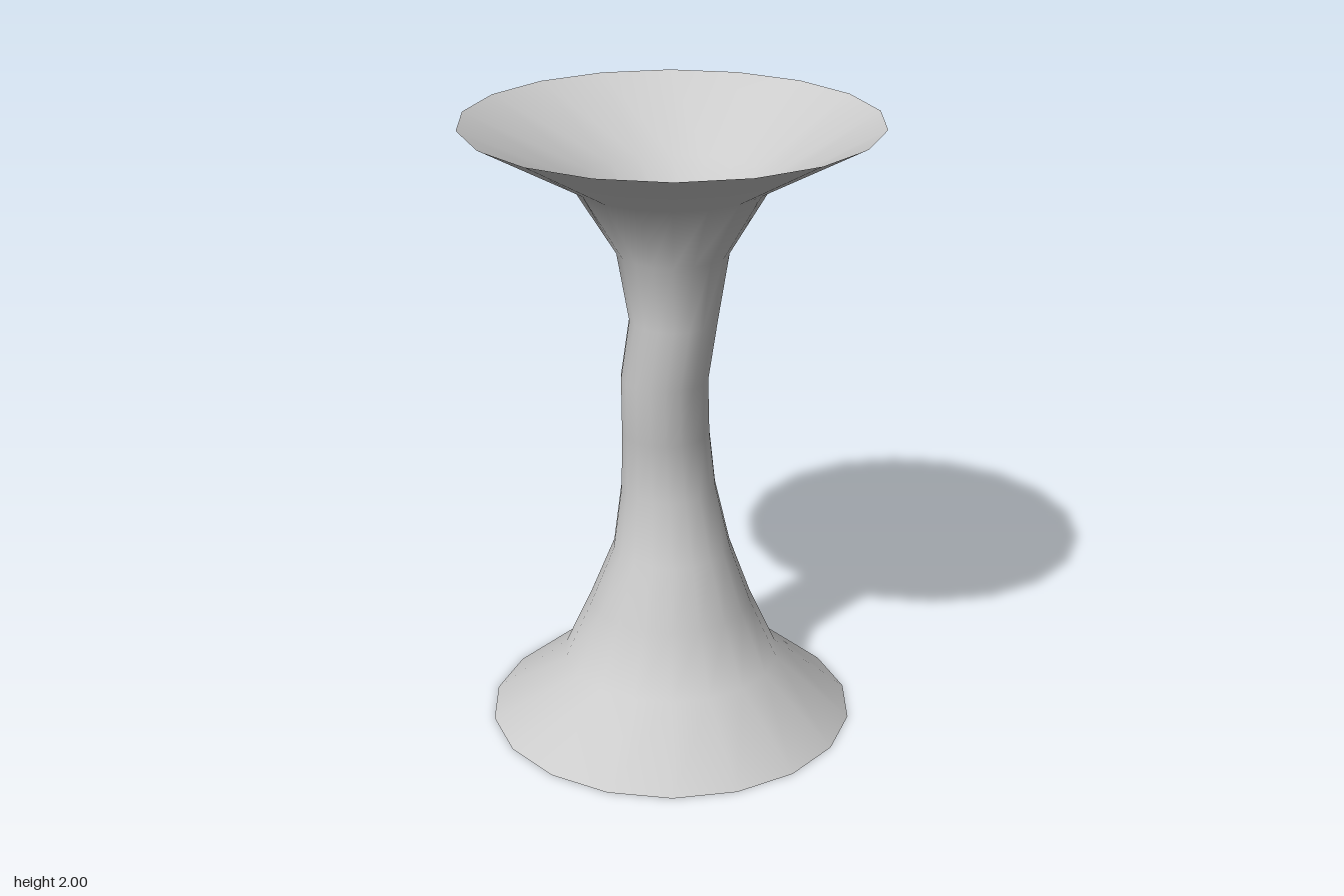
import * as THREE from 'three';
import { mergeVertices } from 'three/addons/utils/BufferGeometryUtils.js';

// Rings from bottom to top: [y, centre x, centre z, radius x, radius z]
const RINGS = [
  [0, 0, -0.016, 0.593, 0.593],
  [0.2, 0, -0.018, 0.353, 0.352],
  [0.4, 0, -0.018, 0.263, 0.266],
  [0.6, 0, 0.002, 0.19, 0.19],
  [0.79, -0.003, -0.043, 0.153, 0.155],
  [1.0, -0.02, 0.001, 0.14, 0.141],
  [1.19, -0.027, 0.022, 0.138, 0.14],
  [1.39, -0.003, 0.045, 0.138, 0.138],
  [1.6, 0, 0.018, 0.175, 0.175],
  [1.81, 0, 0, 0.305, 0.305],
  [2, 0, 0, 0.645, 0.647],
];
const SIDES = 18;

export function createModel() {
  const group = new THREE.Group();
  group.name = 'flaredColumn';

  // Open tube whose rings are moved and scaled along the wavering axis
  const rows = RINGS.length - 1;
  let geometry = new THREE.CylinderGeometry(1, 1, rows, SIDES, rows, true, Math.PI / 2);
  const pos = geometry.attributes.position;
  for (let i = 0; i < pos.count; i++) {
    const [y, cx, cz, rx, rz] = RINGS[Math.round(pos.getY(i) + rows / 2)];
    pos.setXYZ(i, cx + pos.getX(i) * rx, y, cz + pos.getZ(i) * rz);
  }

  // Weld the seam so the shading is smooth all round
  geometry.deleteAttribute('uv');
  geometry.deleteAttribute('normal');
  geometry = mergeVertices(geometry, 1e-4);
  geometry.computeVertexNormals();

  const column = new THREE.Mesh(
    geometry,
    new THREE.MeshStandardMaterial({ color: 0xcccccc, side: THREE.DoubleSide })
  );
  column.name = 'hollowColumn';
  group.add(column);
  return group;
}
